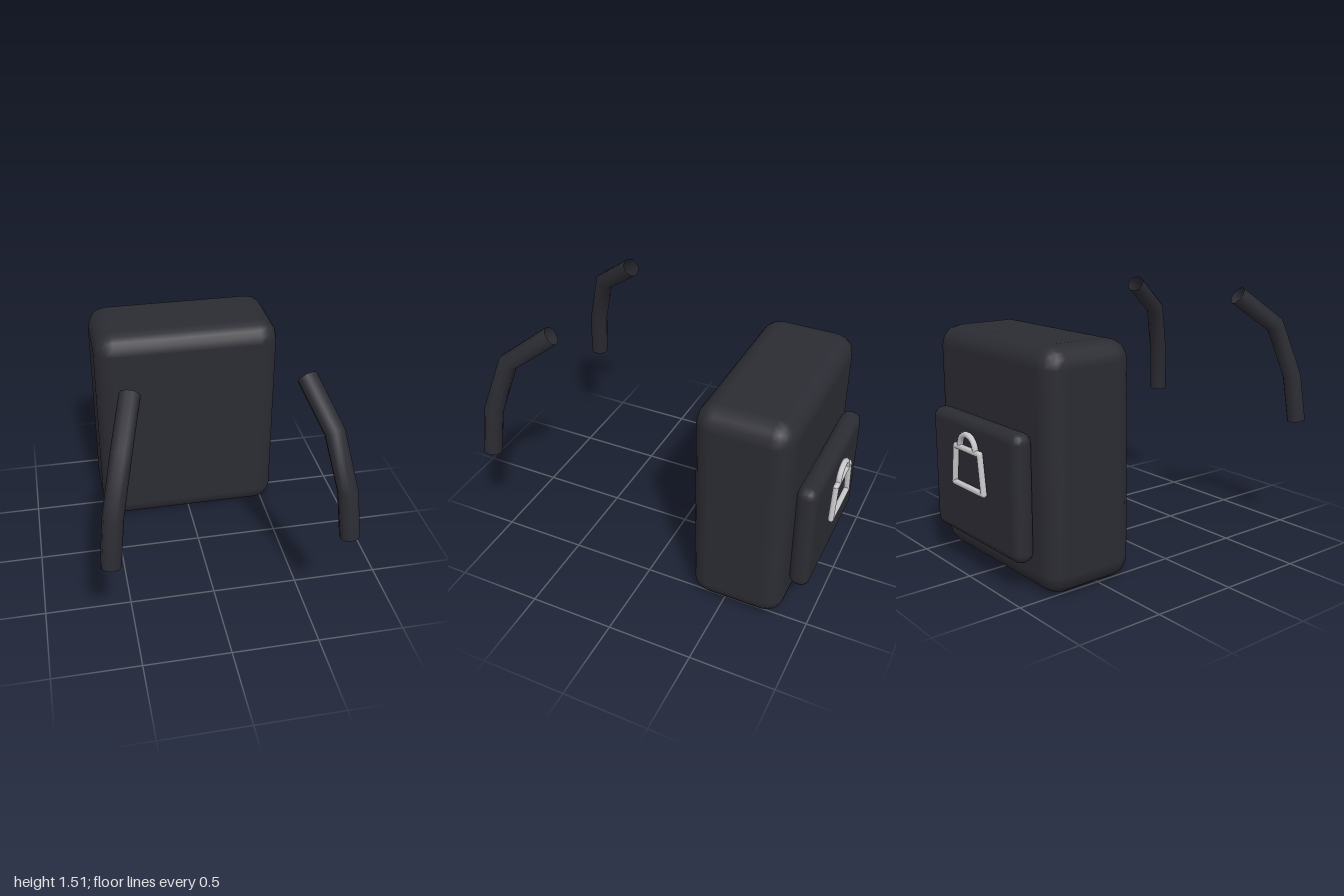
import * as THREE from 'three';
import { RoundedBoxGeometry } from 'three/addons/geometries/RoundedBoxGeometry.js';

// Curve through straight pieces, sampled by point index so the kinks stay exact
class Polyline extends THREE.Curve {
  constructor(points) {
    super();
    this.points = points.map((p) => new THREE.Vector3(...p));
  }
  getPoint(t, target = new THREE.Vector3()) {
    const n = this.points.length - 1;
    const i = Math.min(Math.floor(t * n), n - 1);
    return target.lerpVectors(this.points[i], this.points[i + 1], t * n - i);
  }
  getPointAt(u, target) { return this.getPoint(u, target); }
  getTangentAt(u, target) { return this.getTangent(u, target); }
}

export function createModel() {
  const model = new THREE.Group();
  model.name = 'backpack';

  const fabric = new THREE.MeshStandardMaterial({ color: 0x2b2b33, side: THREE.DoubleSide });
  fabric.name = 'dark fabric';
  const metal = new THREE.MeshStandardMaterial({ color: 0xc8c8cc });
  metal.name = 'silver metal';

  const add = (parent, name, geometry, material, x = 0, y = 0, z = 0) => {
    const mesh = new THREE.Mesh(geometry, material);
    mesh.name = name;
    mesh.position.set(x, y, z);
    parent.add(mesh);
    return mesh;
  };

  // Main bag and rear pocket
  add(model, 'bag', new RoundedBoxGeometry(1.13, 1.32, 0.555, 2, 0.115), fabric, 0, 0.66, -0.567);
  add(model, 'pocket', new RoundedBoxGeometry(0.86, 0.7, 0.12, 2, 0.055), fabric, 0, 0.53, -0.9);

  // Shoulder straps: open kinked tubes, mirrored
  for (const [name, s] of [['leftStrap', 1], ['rightStrap', -1]]) {
    const path = new Polyline([
      [s * 0.455, 1.47, 0.578],
      [s * 0.537, 1.285, 0.825],
      [s * 0.603, 0.975, 0.92],
      [s * 0.63, 0.698, 0.947],
    ]);
    add(model, name, new THREE.TubeGeometry(path, 3, 0.055, 10, false), fabric);
  }

  // Metal ornament on the pocket: tapered frame with an arched handle
  const ornament = new THREE.Group();
  ornament.name = 'ornament';
  ornament.position.z = -0.982;
  model.add(ornament);
  const r = 0.0175;
  const corners = [[-0.15, 0.508], [0.15, 0.508], [0.122, 0.72], [-0.122, 0.72]]
    .map(([x, y]) => new THREE.Vector3(x, y, 0));
  const up = new THREE.Vector3(0, 1, 0);
  corners.forEach((a, i) => {
    const b = corners[(i + 1) % 4];
    const dir = b.clone().sub(a);
    const mid = a.clone().add(b).multiplyScalar(0.5);
    const rod = add(ornament, 'frameRod', new THREE.CylinderGeometry(r, r, dir.length(), 8), metal, mid.x, mid.y);
    rod.quaternion.setFromUnitVectors(up, dir.normalize());
    add(ornament, 'frameCorner', new THREE.SphereGeometry(r, 8, 6), metal, a.x, a.y);
  });
  add(ornament, 'handle', new THREE.TorusGeometry(0.08, r, 8, 16, Math.PI), metal, 0, 0.722);

  return model;
}
